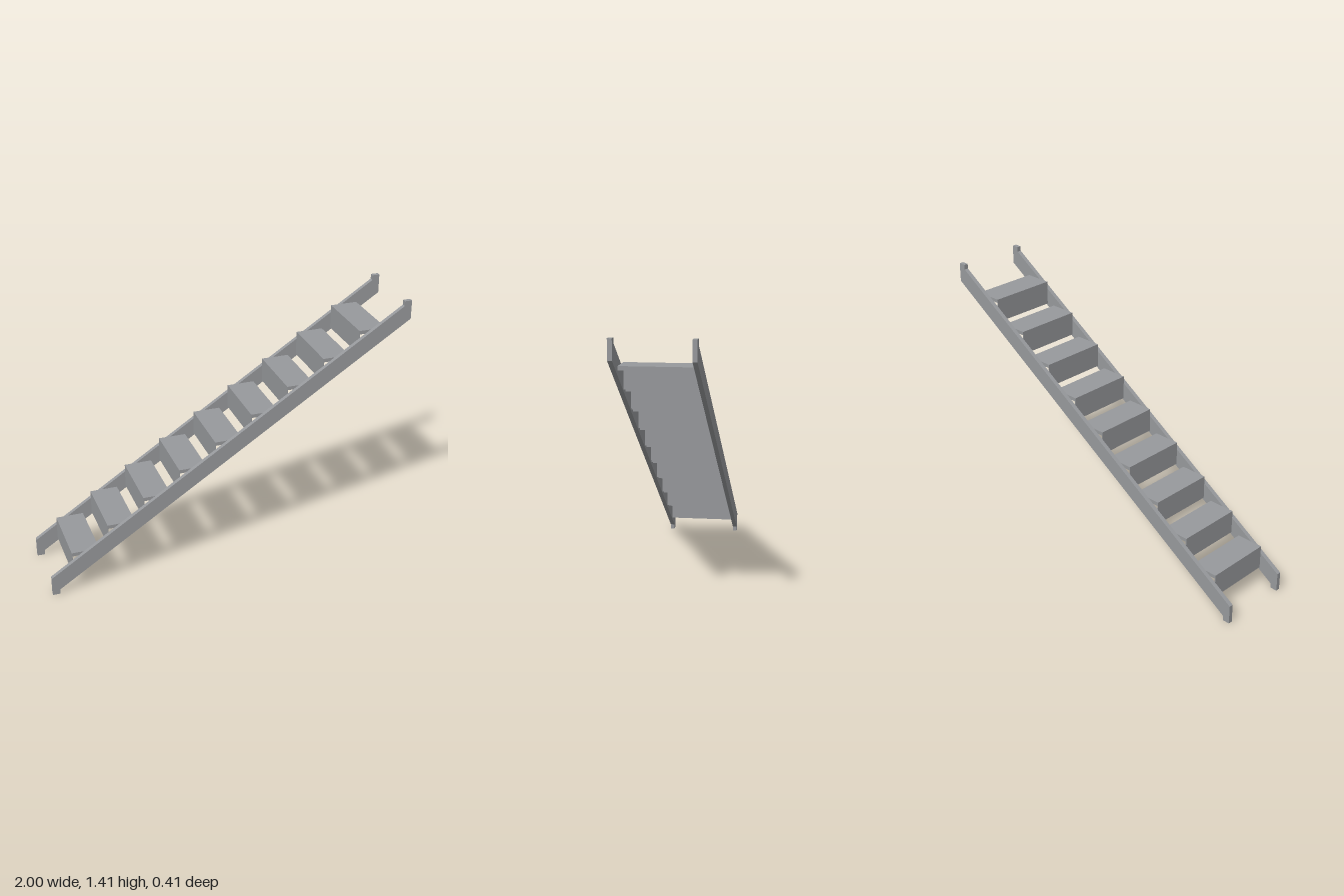
import * as THREE from 'three';

export function createModel() {
  const group = new THREE.Group();
  const steel = new THREE.MeshStandardMaterial({ color: 0x97999c });
  steel.name = 'steel grey';

  function addBox(name, x0, x1, y0, y1, depth) {
    const mesh = new THREE.Mesh(new THREE.BoxGeometry(x1 - x0, y1 - y0, depth), steel);
    mesh.position.set((x0 + x1) / 2, (y0 + y1) / 2, 0);
    mesh.name = name;
    group.add(mesh);
  }

  // Sloping side beams with an upright foot and head
  const outline = [
    [-1, 0], [-0.96, 0], [-0.96, 0.027], [1, 1.306],
    [1, 1.41], [0.96, 1.41], [0.96, 1.383], [-1, 0.104],
  ].map(([x, y]) => new THREE.Vector2(x, y));
  const thickness = 0.023;
  const beam = new THREE.ExtrudeGeometry(new THREE.Shape(outline), { depth: thickness, bevelEnabled: false });
  beam.translate(0, 0, -thickness / 2);
  for (const side of [-1, 1]) {
    const stringer = new THREE.Mesh(beam, steel);
    stringer.position.z = side * 0.196;
    stringer.name = side > 0 ? 'frontStringer' : 'backStringer';
    group.add(stringer);
  }

  // Nine steps, each a tread with a thin riser under its leading edge
  for (let i = 0; i < 9; i++) {
    const x = -0.882 + i * 0.2;
    const top = 0.224 + i * 0.1303;
    addBox('tread', x, x + 0.15, top - 0.02, top, 0.37);
    addBox('riser', x, x + 0.004, top - 0.132, top - 0.02, 0.37);
  }
  return group;
}
